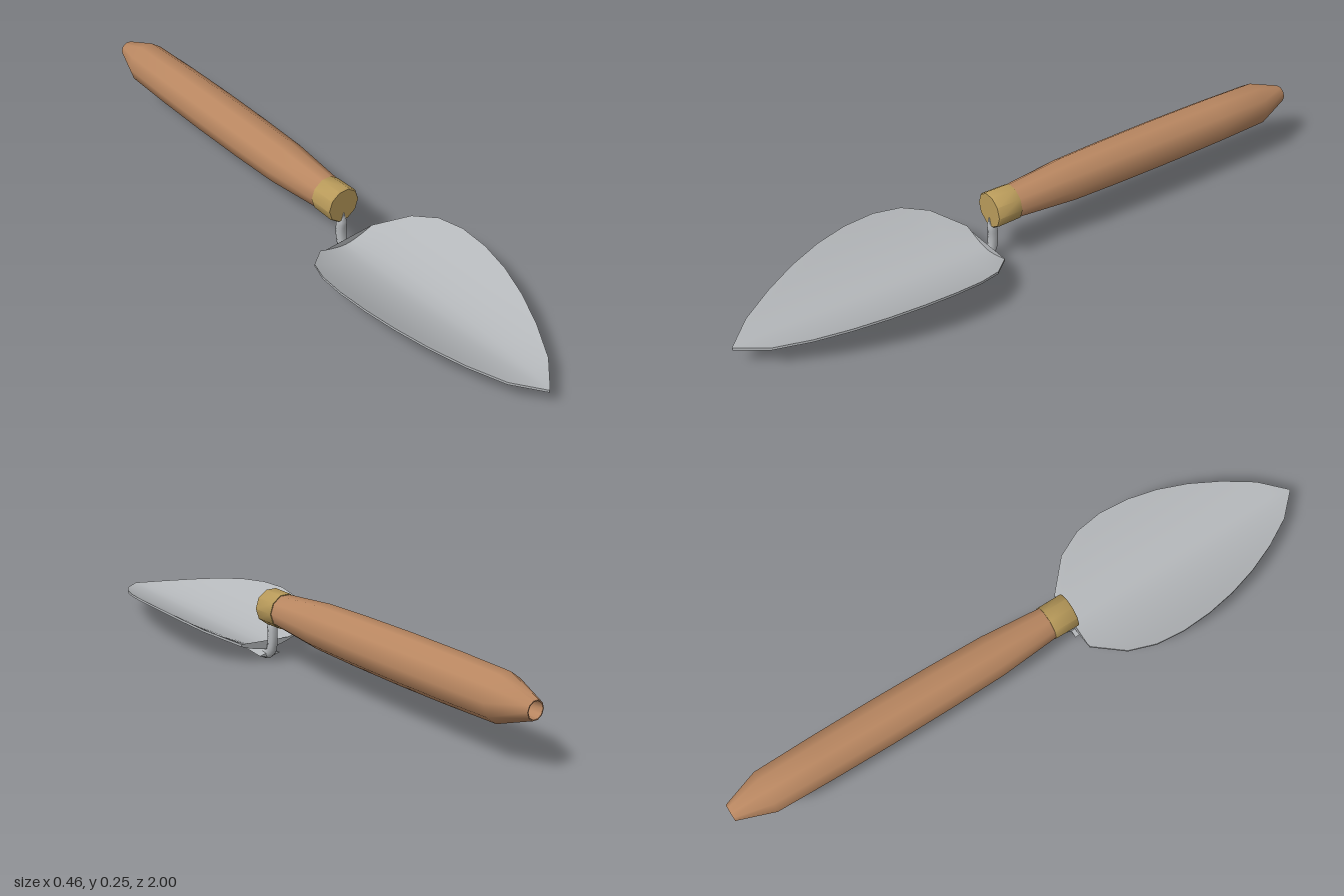
import * as THREE from 'three';
import { toCreasedNormals } from 'three/addons/utils/BufferGeometryUtils.js';

const material = (name, color) => {
  const m = new THREE.MeshStandardMaterial({ color });
  m.name = name;
  return m;
};

// Ten-sided turned part lying along z; profile points are [radius, z], back to front
function turned(profile) {
  const points = profile.map(([r, z]) => new THREE.Vector2(r, z));
  const g = new THREE.LatheGeometry(points, 10, Math.PI / 2);
  g.rotateX(Math.PI / 2);
  return toCreasedNormals(g, 0.7);
}

// Loft through closed rings of equal length, with capped ends
function loft(rings) {
  const n = rings[0].length;
  const index = [];
  for (let i = 0; i < rings.length - 1; i++) {
    for (let j = 0; j < n; j++) {
      const a = i * n + j, b = i * n + (j + 1) % n;
      index.push(a, b, a + n, b, b + n, a + n);
    }
  }
  const last = (rings.length - 1) * n;
  for (let j = 1; j < n - 1; j++) {
    index.push(0, j + 1, j, last, last + j, last + j + 1);
  }
  const g = new THREE.BufferGeometry();
  g.setAttribute('position', new THREE.Float32BufferAttribute(rings.flat(2), 3));
  g.setIndex(index);
  return g;
}

// Dished leaf-shaped blade: each station is [z, half width]
function bladeGeometry() {
  const stations = [
    [0.17, 0.1], [0.25, 0.185], [0.33, 0.22], [0.42, 0.231], [0.52, 0.225],
    [0.62, 0.206], [0.72, 0.175], [0.82, 0.132], [0.92, 0.076], [1, 0.001],
  ];
  const steps = 12, thickness = 0.008;
  const rings = stations.map(([z, w]) => {
    const point = (s, lift) => {
      const x = w * s;
      return [x, 0.032 + 0.028 * z + 0.95 * Math.abs(x) ** 1.6 + lift, z];
    };
    const ring = [];
    for (let i = 0; i <= steps; i++) ring.push(point(-1 + 2 * i / steps, 0));
    for (let i = steps; i >= 0; i--) ring.push(point(-1 + 2 * i / steps, thickness));
    return ring;
  });
  return toCreasedNormals(loft(rings), 0.6);
}

// Flat diamond-section spine tapering forward under the blade
function spineGeometry() {
  const rings = [[0.16, 0.021, 0.038, 0.01], [0.24, 0.023, 0.03, 0.008], [0.45, 0.029, 0.006, 0.003]]
    .map(([z, y, w, h]) => [[-w, y, z], [0, y - h, z], [w, y, z], [0, y + h, z]]);
  return toCreasedNormals(loft(rings), 0.4);
}

// Bent rod from the ferrule down to the spine, tapered to a point at both ends
function shankGeometry() {
  const path = new THREE.CatmullRomCurve3([
    [0, 0.155, 0.158], [0, 0.122, 0.148], [0, 0.07, 0.145],
    [0, 0.032, 0.155], [0, 0.019, 0.18], [0, 0.02, 0.25],
  ].map((p) => new THREE.Vector3(...p)));
  const segments = 20, sides = 8, radius = 0.016;
  const g = new THREE.TubeGeometry(path, segments, radius, sides, false);
  const pos = g.attributes.position;
  const v = new THREE.Vector3();
  for (let i = 0; i <= segments; i++) {
    const t = i / segments;
    const scale = Math.min(1, 0.03 + t / 0.17, 0.03 + (1 - t) / 0.3);
    const centre = path.getPointAt(t);
    for (let j = 0; j <= sides; j++) {
      const k = i * (sides + 1) + j;
      v.fromBufferAttribute(pos, k).sub(centre).multiplyScalar(scale).add(centre);
      pos.setXYZ(k, v.x, v.y, v.z);
    }
  }
  return toCreasedNormals(g, 0.9);
}

export function createModel() {
  const wood = material('wood', 0xb98761);
  const brass = material('brass', 0xb89a5a);
  const steel = material('steel', 0xb4b7ba);

  const model = new THREE.Group();
  model.name = 'trowel';
  const add = (name, geometry, mat, y = 0) => {
    const mesh = new THREE.Mesh(geometry, mat);
    mesh.name = name;
    mesh.position.y = y;
    model.add(mesh);
  };

  // Handle with a hanging hole in its butt end
  add('handle', turned([
    [0, -0.94], [0.022, -0.94], [0.025, -1], [0.028, -1], [0.07, -0.885],
    [0.074, -0.7], [0.0755, -0.5], [0.074, -0.3], [0.07, -0.12], [0.053, 0.08], [0, 0.08],
  ]), wood, 0.18);

  // Metal collar at the front of the handle
  add('ferrule', turned([
    [0, 0.075], [0.056, 0.075], [0.057, 0.152], [0.054, 0.156], [0, 0.156],
  ]), brass, 0.18);

  add('shank', shankGeometry(), steel);
  add('spine', spineGeometry(), steel);
  add('blade', bladeGeometry(), steel);

  // Rest the lowest point on the ground
  model.position.y = -new THREE.Box3().setFromObject(model, true).min.y;
  return model;
}
